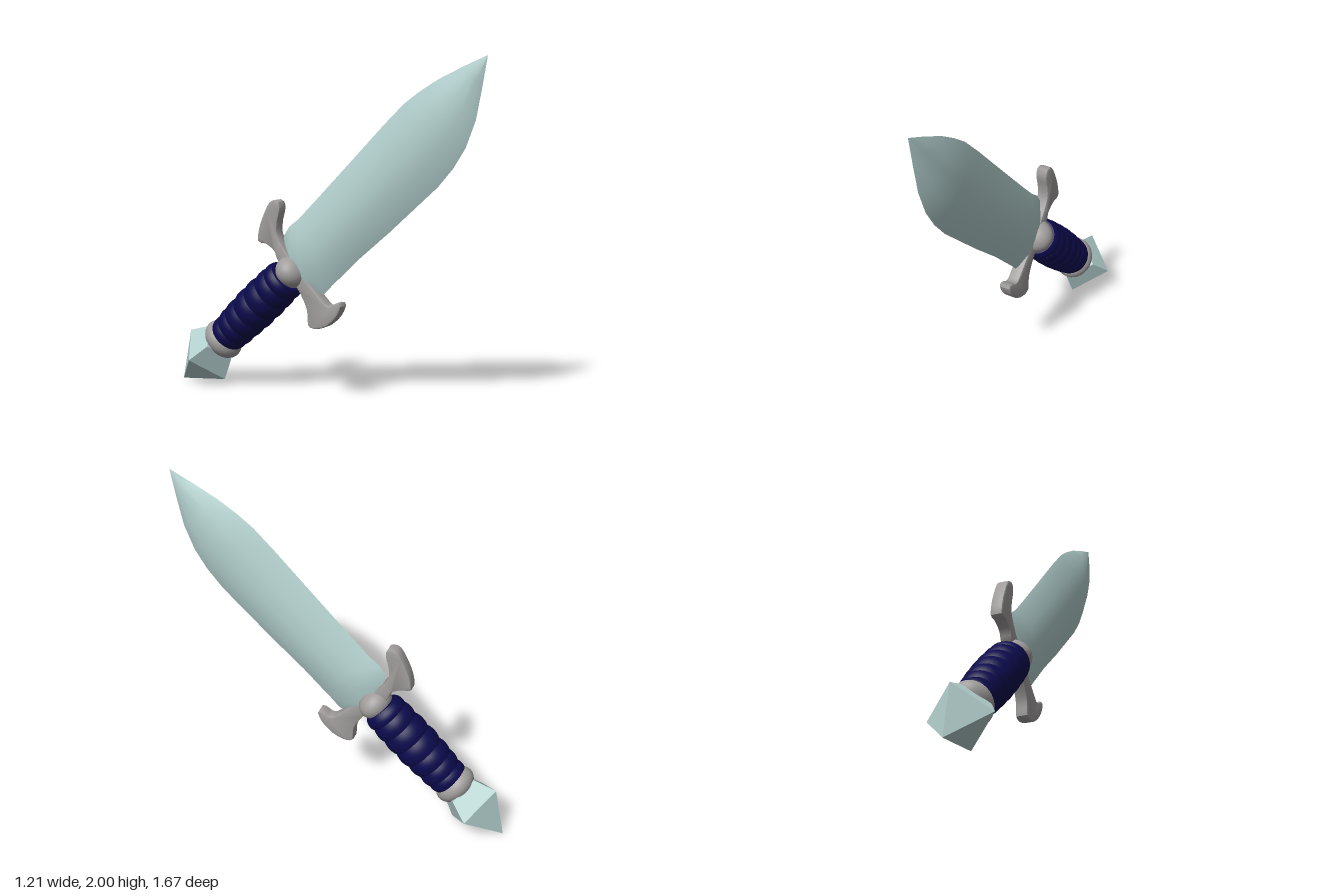
import * as THREE from 'three';
import { toCreasedNormals } from 'three/addons/utils/BufferGeometryUtils.js';

const steel = new THREE.MeshStandardMaterial({ color: 0xb2cfcd });
steel.name = 'pale steel';
const grey = new THREE.MeshStandardMaterial({ color: 0xa09c9c });
grey.name = 'guard grey';
const navy = new THREE.MeshStandardMaterial({ color: 0x0c0a4c });
navy.name = 'navy wrap';

function add(parent, name, geometry, material) {
  const mesh = new THREE.Mesh(geometry, material);
  mesh.name = name;
  parent.add(mesh);
  return mesh;
}

function faceted(geometry) {
  const g = geometry.toNonIndexed();
  g.computeVertexNormals();
  return g;
}

// Blade: lens cross-sections between spine and cutting edge.
// Each row: spine x, y, edge x, y, half thickness.
function bladeGeometry() {
  const rows = [
    [-0.25, 0.84, -0.06, 0.63, 0.035],
    [-0.262, 0.95, 0.018, 0.637, 0.05],
    [-0.222, 1.008, 0.08, 0.7, 0.06],
    [-0.165, 1.05, 0.126, 0.743, 0.066],
    [-0.06, 1.153, 0.242, 0.854, 0.07],
    [0.113, 1.326, 0.436, 1.02, 0.07],
    [0.4, 1.615, 0.738, 1.294, 0.07],
    [0.526, 1.735, 0.829, 1.4, 0.07],
    [0.624, 1.805, 0.9, 1.512, 0.068],
    [0.733, 1.87, 0.957, 1.66, 0.055],
    [0.88, 1.94, 0.992, 1.84, 0.03],
    [1.02, 2.0, 1.02, 2.0, 0],
  ];
  // Position across the blade and share of the thickness, going round
  const ring = [[0, 0], [0.25, 0.85], [0.5, 1], [0.75, 0.85],
    [1, 0], [0.75, -0.85], [0.5, -1], [0.25, -0.85]];
  const n = ring.length;
  const pos = [];
  const idx = [];
  for (const [sx, sy, ex, ey, t] of rows) {
    for (const [k, f] of ring) pos.push(sx + (ex - sx) * k, sy + (ey - sy) * k, t * f);
  }
  for (let r = 0; r < rows.length - 1; r++) {
    for (let j = 0; j < n; j++) {
      const a = r * n + j;
      const b = r * n + (j + 1) % n;
      idx.push(a, b, a + n);
      if (r < rows.length - 2) idx.push(b, b + n, a + n);
    }
  }
  for (let j = 1; j < n - 1; j++) idx.push(0, j + 1, j);
  const g = new THREE.BufferGeometry();
  g.setAttribute('position', new THREE.Float32BufferAttribute(pos, 3));
  g.setIndex(idx);
  return toCreasedNormals(g, 0.7);
}

// Guard: S-shaped plate with a horn at each end
function guardGeometry() {
  const pts = [
    [-0.3, 1.158], [-0.345, 1.14], [-0.4, 1.034], [-0.422, 0.96], [-0.425, 0.912],
    [-0.41, 0.9], [-0.37, 0.897], [-0.31, 0.86], [-0.28, 0.8], [-0.15, 0.655],
    [-0.088, 0.546], [-0.078, 0.46], [-0.07, 0.437], [-0.02, 0.431], [0.05, 0.456],
    [0.115, 0.515], [0.145, 0.575], [0.138, 0.598], [0.11, 0.596], [0.062, 0.573],
    [0.01, 0.615], [-0.09, 0.716], [-0.21, 0.843], [-0.283, 0.95], [-0.288, 1.024],
    [-0.27, 1.1], [-0.276, 1.145],
  ].map(([x, y]) => new THREE.Vector2(x, y));
  const shape = new THREE.Shape();
  shape.moveTo(pts[0].x, pts[0].y);
  shape.splineThru([...pts.slice(1), pts[0].clone()]);
  const outline = shape.getSpacedPoints(90).slice(0, -1);
  const g = new THREE.ExtrudeGeometry(new THREE.Shape(outline), {
    depth: 0.05, bevelSize: 0.01, bevelThickness: 0.011, bevelOffset: -0.01, bevelSegments: 2,
  });
  g.translate(0, 0, -0.025);
  return toCreasedNormals(g, 0.65);
}

// One rounded turn of the grip wrapping
function bandGeometry(radius, height) {
  const profile = [];
  for (let i = 0; i <= 8; i++) {
    const t = (i / 8) * 2 - 1;
    profile.push(new THREE.Vector2(radius - 0.018 * t * t, t * height / 2));
  }
  profile.unshift(new THREE.Vector2(0.02, -height / 2));
  profile.push(new THREE.Vector2(0.02, height / 2));
  return new THREE.LatheGeometry(profile, 32);
}

export function createModel() {
  const model = new THREE.Group();
  model.name = 'dagger';

  // The dagger lies in a vertical plane turned about y
  const dagger = new THREE.Group();
  dagger.name = 'turnedDagger';
  dagger.rotation.y = -0.9624;
  dagger.position.set(0.008, 0, -0.006);
  model.add(dagger);

  add(dagger, 'blade', bladeGeometry(), steel);
  add(dagger, 'guard', guardGeometry(), grey);

  // Hilt: its own y runs from the pommel towards the blade
  const hilt = new THREE.Group();
  hilt.name = 'hilt';
  hilt.position.set(-0.826, 0.173, 0);
  hilt.rotation.z = -THREE.MathUtils.degToRad(47.5);
  dagger.add(hilt);

  // Pommel: four-sided gem
  const upper = new THREE.CylinderGeometry(0.125, 0.187, 0.125, 4);
  add(hilt, 'pommelTop', faceted(upper), steel).position.y = 0.0625;
  const lower = new THREE.CylinderGeometry(0.187, 0, 0.256, 4, 1, true);
  add(hilt, 'pommelPoint', faceted(lower), steel).position.y = -0.128;

  // Collars at both ends of the grip
  const ball = new THREE.SphereGeometry(1, 32, 20);
  const collar = add(hilt, 'pommelCollar', ball, grey);
  collar.scale.set(0.128, 0.085, 0.118);
  collar.position.y = 0.165;
  const bolster = add(hilt, 'bolster', ball, grey);
  bolster.scale.set(0.1, 0.085, 0.112);
  bolster.position.y = 0.845;

  // Grip: overlapping, slightly tilted wraps
  const bands = [
    [0.235, 0.116, 0.1, 0.12], [0.305, 0.123, 0.11, -0.1], [0.39, 0.129, 0.12, 0.12],
    [0.485, 0.133, 0.13, -0.08], [0.585, 0.133, 0.13, 0.1], [0.68, 0.13, 0.12, -0.1],
    [0.755, 0.125, 0.09, 0.05],
  ];
  bands.forEach(([y, radius, height, tilt], i) => {
    const band = add(hilt, 'gripWrap' + (i + 1), toCreasedNormals(bandGeometry(radius, height), 0.8), navy);
    band.position.y = y;
    band.rotation.set(tilt * 0.6, 0, tilt);
  });

  return model;
}
